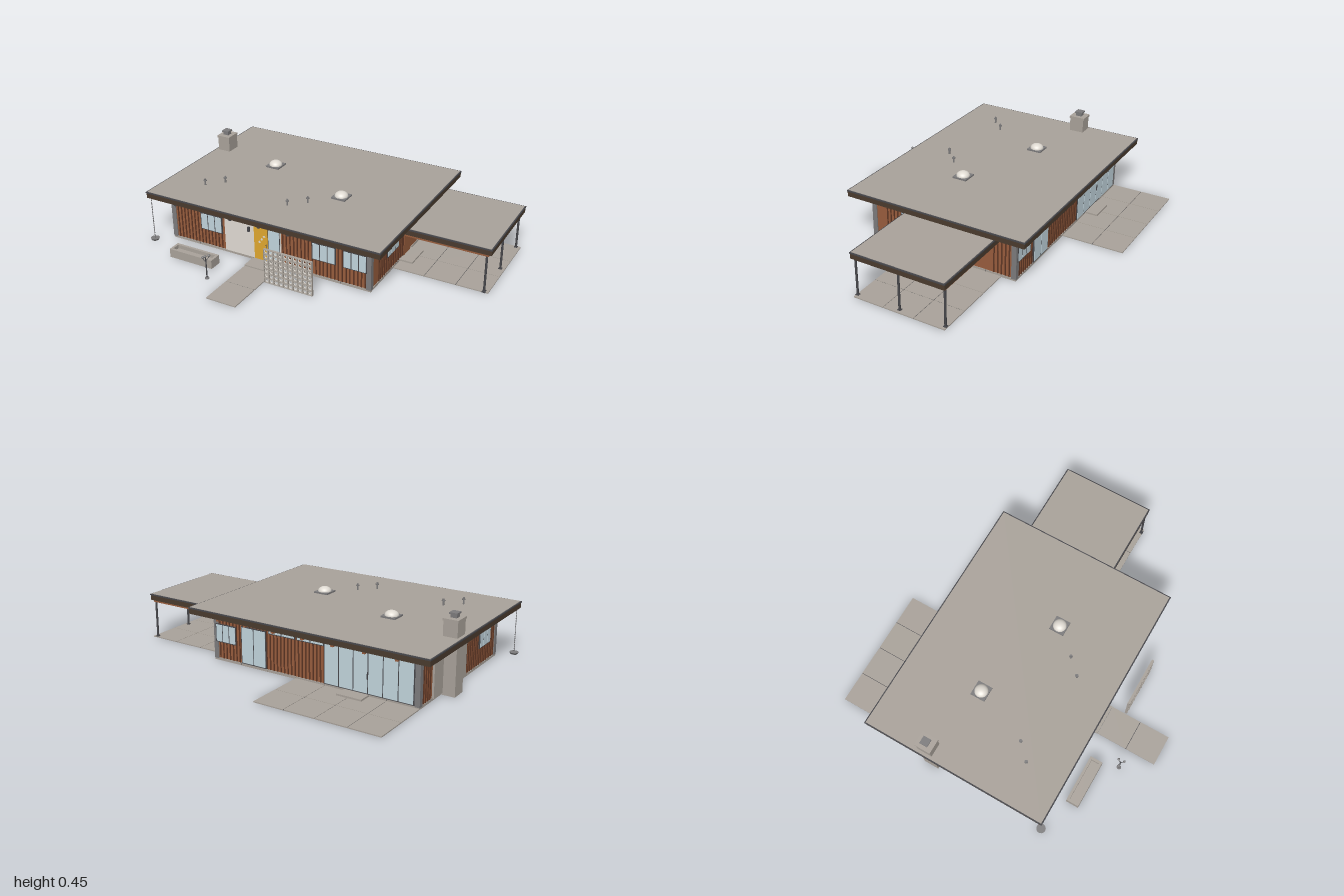
import * as THREE from 'three';

const mat = (name, color) => {
  const m = new THREE.MeshStandardMaterial({ color });
  m.name = name;
  return m;
};

export function createModel() {
  const concrete = mat('concrete', 0xa9a29a);
  const wood = mat('redwood siding', 0x985d3d);
  const batten = mat('dark batten', 0x5f3725);
  const fascia = mat('dark fascia', 0x4a3b2e);
  const soffitWood = mat('soffit wood', 0xa07a4c);
  const metal = mat('dark metal', 0x47474b);
  const zinc = mat('weathered zinc', 0x7c7b7c);
  const glass = mat('glass', 0xc2d5dd);
  const plaster = mat('plaster', 0xe0dbd3);
  const yellow = mat('yellow door paint', 0xdfa730);

  const model = new THREE.Group();
  const add = (parent, name, geo, m, x = 0, y = 0, z = 0) => {
    const mesh = new THREE.Mesh(geo, m);
    mesh.name = name;
    mesh.position.set(x, y, z);
    parent.add(mesh);
    return mesh;
  };
  // box given by its extents
  const box = (parent, name, m, x0, x1, y0, y1, z0, z1) =>
    add(parent, name, new THREE.BoxGeometry(x1 - x0, y1 - y0, z1 - z0), m,
      (x0 + x1) / 2, (y0 + y1) / 2, (z0 + z1) / 2);
  const cyl = (parent, name, m, r0, r1, y0, y1, x, z, n = 12) =>
    add(parent, name, new THREE.CylinderGeometry(r1, r0, y1 - y0, n), m, x, (y0 + y1) / 2, z);
  const group = (name) => {
    const g = new THREE.Group();
    g.name = name;
    model.add(g);
    return g;
  };

  // the plan follows one square module
  const M = 0.1886, X0 = -0.892, X1 = 0.428, Z0 = -0.52, Z1 = 0.423;

  // paved slabs with dark joints
  const paving = (name, x0, z0, nx, nz, h) => {
    const g = group(name);
    box(g, 'joints', metal, x0 + 0.003, x0 + nx * M - 0.003, 0.001, h - 0.002, z0 + 0.003, z0 + nz * M - 0.003);
    for (let i = 0; i < nx; i++) for (let j = 0; j < nz; j++)
      box(g, 'paver', concrete, x0 + i * M + 0.0015, x0 + (i + 1) * M - 0.0015, 0, h,
        z0 + j * M + 0.0015, z0 + (j + 1) * M - 0.0015);
  };
  paving('floorSlab', X0, Z0, 7, 5, 0.015);
  paving('backPatio', X0, Z0 - 2 * M, 4, 2, 0.006);
  paving('carportFloor', X1, -0.43, 3, 3, 0.006);
  paving('entryPath', -0.327, 0.515, 1, 2, 0.006);
  box(model, 'entryStep', concrete, -0.327, -0.14, 0, 0.012, Z1, 0.515);
  box(model, 'sideStep', concrete, X1, 0.508, 0, 0.016, -0.11, 0.05);
  box(model, 'backStep', concrete, -0.6, -0.45, 0, 0.016, -0.6, Z0);

  // wall core and corner piers
  box(model, 'wallCore', wood, X0 + 0.005, X1 - 0.005, 0.01, 0.285, Z0 + 0.005, Z1 - 0.005);
  for (const x of [X0, X1 - 0.03]) for (const z of [Z0, Z1 - 0.03])
    box(model, 'cornerPier', zinc, x, x + 0.03, 0.01, 0.285, z, z + 0.03);

  // each wall is dressed in its own frame: x along the wall, z outward
  const wall = (name, x, z, turn) => {
    const g = group(name);
    g.position.set(x, 0, z);
    g.rotation.y = turn * Math.PI / 2;
    return g;
  };
  const front = wall('frontWall', 0.003, Z1 - 0.005, 0);
  const right = wall('carportSideWall', X1 - 0.005, 0, 1);
  const back = wall('backWall', 0.003, Z0 + 0.005, 2);
  const left = wall('chimneySideWall', X0 + 0.005, 0, 3);

  const battens = (g, a, b) => {
    for (let u = a + 0.008; u < b - 0.004; u += M / 8)
      box(g, 'batten', batten, u, u + 0.007, 0.016, 0.282, 0, 0.004);
  };
  const glazing = (g, name, a, b, y0, y1, n) => {
    box(g, name + 'Frame', metal, a, b, y0, y1, 0, 0.007);
    const w = (b - a - 0.006) / n;
    for (let i = 0; i < n; i++)
      box(g, name + 'Pane', glass, a + 0.006 + i * w, a + (i + 1) * w, y0 + 0.005, y1 - 0.005, 0.001, 0.009);
  };
  const sconce = (g, u) => {
    box(g, 'sconceBracket', metal, u - 0.005, u + 0.005, 0.19, 0.2, 0, 0.012);
    box(g, 'sconce', metal, u - 0.006, u + 0.006, 0.182, 0.212, 0.009, 0.02);
  };

  // front wall
  battens(front, -0.86, -0.52);
  battens(front, -0.14, 0.393);
  box(front, 'entryPanel', plaster, -0.517, -0.14, 0.015, 0.284, 0, 0.006);
  glazing(front, 'leftClerestory', -0.866, -0.713, 0.225, 0.284, 2);
  glazing(front, 'middleClerestory', -0.137, 0.042, 0.225, 0.284, 2);
  for (const [a, b] of [[-0.685, -0.535], [0.06, 0.21], [0.255, 0.4]])
    glazing(front, 'window', a, b, 0.112, 0.22, 3);
  box(front, 'doorFrame', metal, -0.316, -0.145, 0.015, 0.238, 0, 0.007);
  box(front, 'frontDoor', yellow, -0.314, -0.224, 0.017, 0.236, 0.001, 0.011);
  box(front, 'sidelight', glass, -0.22, -0.149, 0.02, 0.235, 0.001, 0.009);
  [[-0.277, 0.132], [-0.262, 0.152], [-0.246, 0.172]].forEach(([x, y]) => {
    const lite = box(front, 'doorLite', plaster, x - 0.006, x + 0.006, y - 0.006, y + 0.006, 0.005, 0.013);
    lite.rotation.z = Math.PI / 4;
  });
  box(front, 'doorHandle', metal, -0.235, -0.231, 0.09, 0.125, 0.01, 0.014);
  sconce(front, -0.347);

  // carport side wall
  battens(right, -0.33, -0.005);
  battens(right, 0.37, 0.49);
  glazing(right, 'clerestory', -0.402, -0.245, 0.225, 0.284, 2);
  glazing(right, 'window', -0.222, -0.072, 0.112, 0.22, 3);
  glazing(right, 'window', 0.16, 0.312, 0.112, 0.22, 3);
  box(right, 'sideDoorFrame', batten, -0.004, 0.094, 0.015, 0.235, 0, 0.006);
  box(right, 'sideDoor', wood, 0, 0.09, 0.017, 0.231, 0.001, 0.009);
  box(right, 'sideDoorHandle', metal, 0.077, 0.082, 0.105, 0.125, 0.008, 0.012);
  sconce(right, 0.138);

  // back wall, x runs the other way
  battens(back, -0.395, 0.33);
  glazing(back, 'window', -0.41, -0.265, 0.112, 0.22, 3);
  glazing(back, 'slidingDoor', -0.228, -0.055, 0.016, 0.235, 2);
  for (let i = 0; i < 2; i++)
    glazing(back, 'clerestory', -0.04 + i * M, -0.05 + (i + 1) * M, 0.225, 0.284, 2);
  glazing(back, 'glassWall', 0.325, 0.865, 0.016, 0.28, 6);
  box(back, 'glassWallHandle', metal, 0.592, 0.597, 0.1, 0.14, 0.008, 0.014);

  // chimney side wall, with masonry breast and stack
  battens(left, -0.488, -0.385);
  battens(left, 0.01, 0.39);
  glazing(left, 'window', 0.18, 0.325, 0.112, 0.22, 3);
  box(left, 'masonryPanel', concrete, -0.38, 0.0, 0.012, 0.284, 0, 0.012);

  const chimney = group('chimney');
  box(chimney, 'stack', concrete, -0.969, -0.887, 0, 0.405, -0.28, -0.19);
  box(chimney, 'cap', concrete, -0.973, -0.885, 0.405, 0.418, -0.286, -0.186);
  box(chimney, 'flue', zinc, -0.948, -0.912, 0.418, 0.437, -0.254, -0.218);
  box(chimney, 'flueCap', zinc, -0.953, -0.907, 0.437, 0.446, -0.26, -0.212);

  // flat roofs: fascia ring, metal edge, membrane and timber soffit
  const roof = (name, x0, x1, z0, z1, y0, y1) => {
    const g = group(name);
    const t = 0.012;
    box(g, 'fasciaFront', fascia, x0, x1, y0, y1 - 0.007, z1 - t, z1);
    box(g, 'fasciaBack', fascia, x0, x1, y0, y1 - 0.007, z0, z0 + t);
    box(g, 'fasciaLeft', fascia, x1 - t, x1, y0, y1 - 0.007, z0 + t, z1 - t);
    box(g, 'fasciaRight', fascia, x0, x0 + t, y0, y1 - 0.007, z0 + t, z1 - t);
    box(g, 'soffit', soffitWood, x0 + t, x1 - t, y0 + 0.004, y1 - 0.007, z0 + t, z1 - t);
    box(g, 'metalEdge', metal, x0 - 0.003, x1 + 0.003, y1 - 0.008, y1 - 0.001, z0 - 0.003, z1 + 0.003);
    box(g, 'membrane', concrete, x0 + 0.004, x1 - 0.004, y1 - 0.003, y1 + 0.001, z0 + 0.004, z1 - 0.004);
    return g;
  };
  const mainRoof = roof('mainRoof', -0.99, 0.524, -0.616, 0.518, 0.281, 0.32);
  for (let i = 0; i < 7; i++) {
    const x = X0 + (i + 0.5) * M;
    box(mainRoof, 'beam', wood, x - 0.008, x + 0.008, 0.265, 0.286, -0.6, 0.5);
    box(mainRoof, 'beamEnd', metal, x - 0.008, x + 0.008, 0.265, 0.281, 0.5, 0.504);
  }

  const carport = roof('carportRoof', X1, 0.995, -0.433, 0.138, 0.238, 0.276);
  for (const z of [0.127, -0.14, -0.418]) {
    box(carport, 'rafter', wood, X1, 0.978, 0.226, 0.243, z - 0.007, z + 0.007);
    cyl(carport, 'post', metal, 0.0065, 0.0065, 0, 0.23, 0.967, z);
    box(carport, 'postFoot', metal, 0.957, 0.977, 0, 0.009, z - 0.01, z + 0.01);
  }

  // domed skylights and vent pipes
  for (const [x, z] of [[-0.513, -0.145], [0.047, 0.045]]) {
    const g = group('skylight');
    box(g, 'curb', zinc, x - 0.045, x + 0.045, 0.318, 0.33, z - 0.045, z + 0.045);
    const dome = add(g, 'dome', new THREE.SphereGeometry(0.04, 24, 8, 0, Math.PI * 2, 0, Math.PI / 2), plaster, x, 0.33, z);
    dome.scale.y = 0.7;
  }
  for (const [x, z] of [[-0.74, 0.28], [-0.655, 0.195], [-0.175, 0.28], [-0.09, 0.195]]) {
    const g = group('ventPipe');
    cyl(g, 'pipe', zinc, 0.005, 0.005, 0.318, 0.361, x, z);
    cyl(g, 'collar', zinc, 0.01, 0.01, 0.347, 0.353, x, z);
  }

  // breeze block screen: square cells with rings
  const screen = group('breezeScreen');
  const cell = 0.0303, sx = -0.135, sy = 0.002;
  const shape = new THREE.Shape([[0, 0], [10, 0], [10, 7], [0, 7]].map(([a, b]) => new THREE.Vector2(a * cell, b * cell)));
  const ring = new THREE.TorusGeometry(0.0093, 0.003, 6, 14);
  for (let i = 0; i < 10; i++) for (let j = 0; j < 7; j++) {
    const h = 0.012, cx = (i + 0.5) * cell, cy = (j + 0.5) * cell;
    shape.holes.push(new THREE.Path([[-h, -h], [-h, h], [h, h], [h, -h]].map(([a, b]) => new THREE.Vector2(cx + a, cy + b))));
    add(screen, 'blockRing', ring, plaster, sx + cx, sy + cy, 0.602);
  }
  add(screen, 'blockGrid', new THREE.ExtrudeGeometry(shape, { depth: 0.014, bevelEnabled: false }), concrete, sx, sy, 0.595);

  // planter trough
  const planter = group('planter');
  box(planter, 'base', concrete, -0.765, -0.475, 0, 0.03, 0.55, 0.627);
  for (const z of [0.55, 0.612]) box(planter, 'longSide', concrete, -0.765, -0.475, 0.03, 0.053, z, z + 0.015);
  for (const x of [-0.765, -0.49]) box(planter, 'shortSide', concrete, x, x + 0.015, 0.03, 0.053, 0.565, 0.612);

  // three-armed garden lamp
  const lamp = group('gardenLamp');
  lamp.position.set(-0.44, 0, 0.72);
  cyl(lamp, 'foot', zinc, 0.013, 0.011, 0, 0.008, 0, 0);
  cyl(lamp, 'pole', metal, 0.004, 0.003, 0, 0.145, 0, 0, 8);
  for (let i = 0; i < 3; i++) {
    const a = i * Math.PI * 2 / 3 + Math.PI, c = Math.cos(a), s = Math.sin(a), y = 0.125 + i * 0.012;
    const arm = new THREE.CatmullRomCurve3([new THREE.Vector3(0, y - 0.02, 0),
      new THREE.Vector3(c * 0.015, y - 0.01, s * 0.015), new THREE.Vector3(c * 0.02, y, s * 0.02)]);
    add(lamp, 'arm', new THREE.TubeGeometry(arm, 6, 0.002, 6), metal);
    add(lamp, 'shade', new THREE.SphereGeometry(0.008, 12, 8), zinc, c * 0.02, y + 0.003, s * 0.02);
  }

  // rain chain and basin
  const rain = group('rainChain');
  for (let i = 0; i < 22; i++)
    cyl(rain, 'chainCup', zinc, 0.0015, 0.0035, 0.016 + i * 0.012, 0.023 + i * 0.012, -0.972, 0.503, 8);
  cyl(rain, 'chainCore', metal, 0.001, 0.001, 0.01, 0.285, -0.972, 0.503, 6);
  cyl(rain, 'basin', zinc, 0.02, 0.027, 0, 0.012, -0.972, 0.503, 20);

  return model;
}
